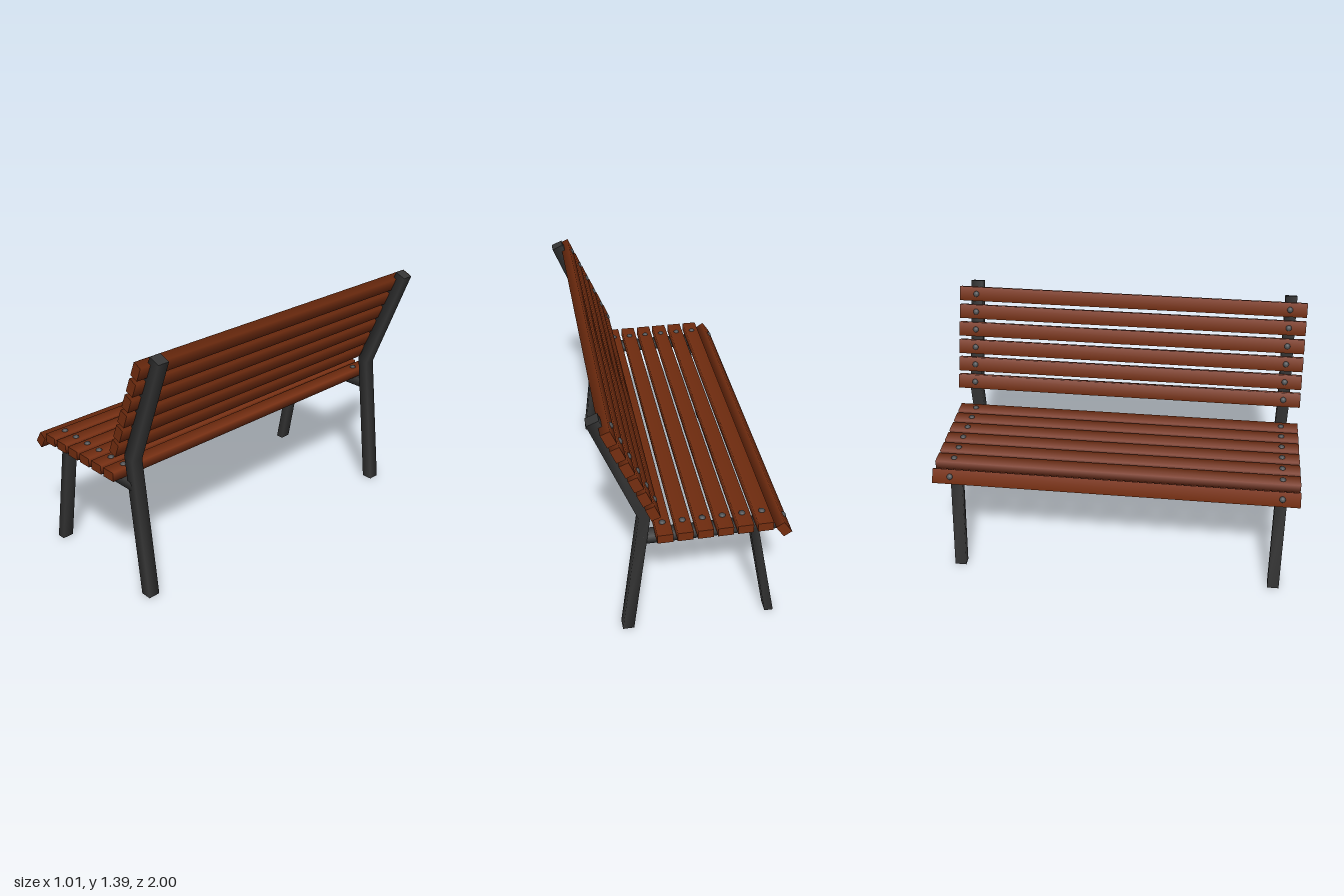
import * as THREE from 'three';

const FRAME_Z = 0.908;
const FRAME_HALF = 0.0325;

// Square bar through [left, right] pairs of profile points: soft sides, flat ends.
function barGeometry(sections) {
  const positions = [];
  const index = [];
  const addRing = ([l, r]) => {
    for (const [p, z] of [[l, -1], [r, -1], [r, 1], [l, 1]]) positions.push(p[0], p[1], z * FRAME_HALF);
  };
  sections.forEach(addRing);
  for (let s = 0; s < sections.length - 1; s++) {
    for (let i = 0; i < 4; i++) {
      const a = s * 4 + i, b = s * 4 + (i + 1) % 4;
      index.push(a, a + 4, b, b, a + 4, b + 4);
    }
  }
  // End caps use their own corners so they stay flat
  const n = sections.length * 4;
  addRing(sections[0]);
  addRing(sections[sections.length - 1]);
  index.push(n, n + 1, n + 3, n + 1, n + 2, n + 3);
  index.push(n + 4, n + 7, n + 5, n + 5, n + 7, n + 6);
  const geometry = new THREE.BufferGeometry();
  geometry.setAttribute('position', new THREE.Float32BufferAttribute(positions, 3));
  geometry.setIndex(index);
  geometry.computeVertexNormals();
  return geometry;
}

export function createModel() {
  const wood = new THREE.MeshStandardMaterial({ color: 0x752e10 });
  wood.name = 'brown wood';
  const metal = new THREE.MeshStandardMaterial({ color: 0x353535 });
  metal.name = 'dark metal';
  const steel = new THREE.MeshStandardMaterial({ color: 0x4c4e50 });
  steel.name = 'bolt steel';

  const bench = new THREE.Group();
  bench.name = 'bench';

  const add = (parent, name, geometry, material) => {
    const mesh = new THREE.Mesh(geometry, material);
    mesh.name = name;
    parent.add(mesh);
    return mesh;
  };

  // End frames
  const frameParts = {
    backPost: barGeometry([
      [[0.303, 0], [0.364, 0]],
      [[0.209, 0.79], [0.27, 0.77]],
      [[0.443, 1.391], [0.503, 1.366]],
    ]),
    seatRail: barGeometry([
      [[-0.42, 0.65], [-0.452, 0.602]],
      [[0.255, 0.65], [0.255, 0.602]],
    ]),
    frontLeg: barGeometry([
      [[-0.464, 0], [-0.417, 0]],
      [[-0.347, 0.62], [-0.302, 0.62]],
    ]),
  };
  for (const side of [-1, 1]) {
    const frame = new THREE.Group();
    frame.name = side > 0 ? 'frontEndFrame' : 'backEndFrame';
    frame.position.z = side * FRAME_Z;
    for (const [name, geometry] of Object.entries(frameParts)) add(frame, name, geometry, metal);
    bench.add(frame);
  }

  // Slat with a domed bolt over each frame; its bolted face is local +y
  const slatGeometry = new THREE.CylinderGeometry(Math.SQRT1_2, Math.SQRT1_2, 1, 4)
    .rotateY(Math.PI / 4).rotateX(Math.PI / 2).scale(0.08, 0.05, 2);
  const boltGeometry = new THREE.SphereGeometry(0.017, 12, 5, 0, Math.PI * 2, 0, Math.PI / 2)
    .scale(1, 0.7, 1);

  const addSlat = (name, x, y, degrees) => {
    const slat = new THREE.Group();
    slat.name = name;
    slat.position.set(x, y, 0);
    slat.rotation.z = THREE.MathUtils.degToRad(degrees);
    add(slat, 'plank', slatGeometry, wood);
    for (const side of [-1, 1]) {
      add(slat, 'bolt', boltGeometry, steel).position.set(0, 0.0245, side * 0.903);
    }
    bench.add(slat);
  };

  addSlat('frontEdgeSlat', -0.463, 0.643, 56);
  for (let i = 0; i < 6; i++) {
    addSlat('seatSlat', -0.367 + i * 0.1026, 0.675, 0);
    addSlat('backSlat', 0.207 + i * 0.0404, 0.849 + i * 0.0948, 67.5);
  }

  return bench;
}
